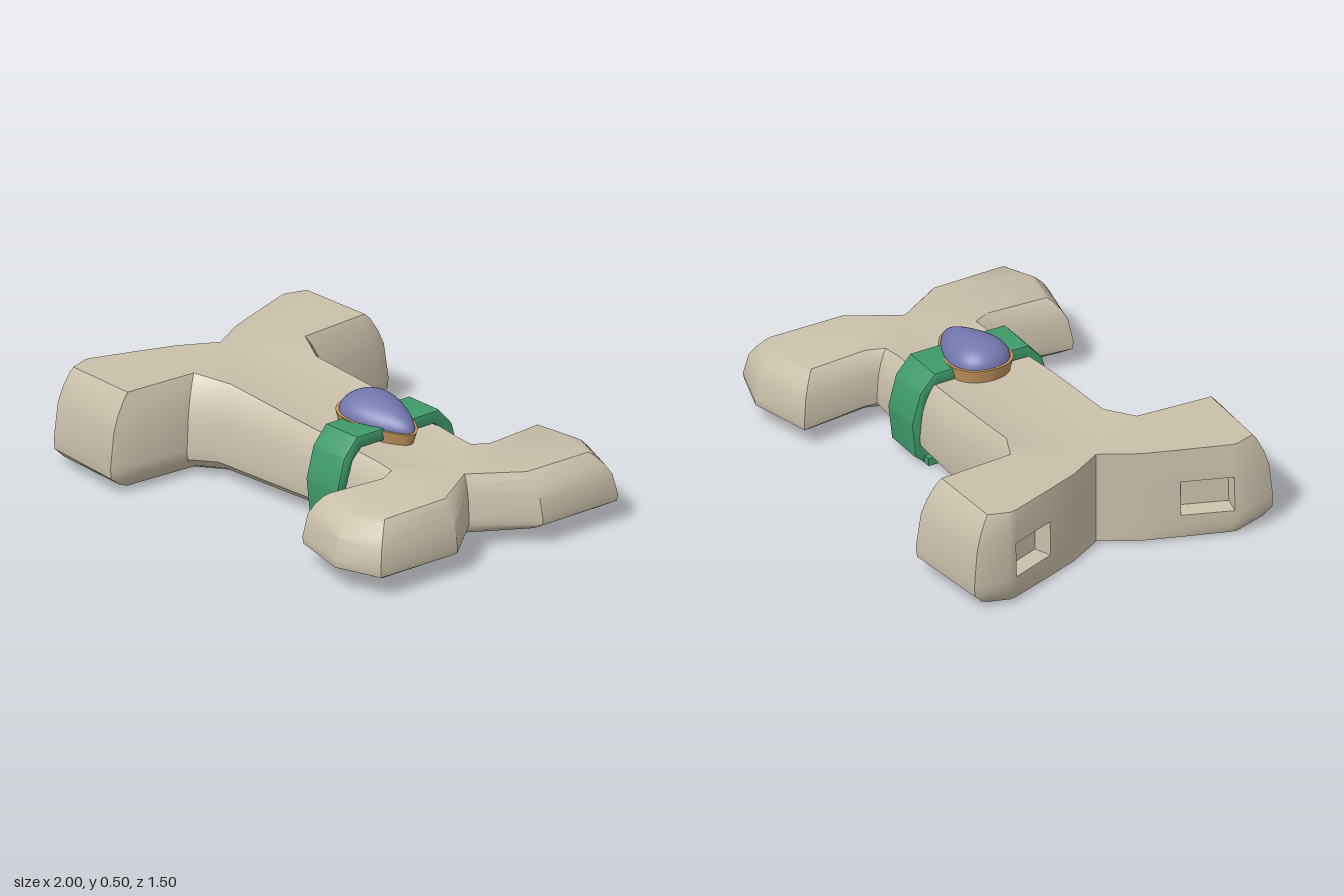
import * as THREE from 'three';
import { toCreasedNormals, mergeVertices } from 'three/addons/utils/BufferGeometryUtils.js';

const mat = (name, color) => Object.assign(new THREE.MeshStandardMaterial({ color }), { name });

// piecewise linear lookup in [[x, y], ...]
function lookup(table, x) {
  if (x <= table[0][0]) return table[0][1];
  for (let i = 1; i < table.length; i++) {
    const [x0, y0] = table[i - 1], [x1, y1] = table[i];
    if (x <= x1) return y0 + (y1 - y0) * (x - x0) / (x1 - x0);
  }
  return table[table.length - 1][1];
}

// bone: plan outline stacked in bevelled layers, with a pocket in each thick end lobe
function boneGeometry() {
  // x, z, and how far the bevel moves x and z; one half, mirrored below
  const half = [
    [-0.75, 0, 0, 0], [-0.84, 0.16, 0, 0], [-0.905, 0.31, 0.01, 0], [-0.985, 0.52, 0.02, -0.01],
    [-1, 0.56, 0.03, -0.02], [-0.97, 0.71, 0.03, -0.08], [-0.57, 0.75, -0.02, -0.11],
    [-0.54, 0.67, -0.05, -0.06], [-0.52, 0.38, -0.05, -0.08], [-0.41, 0.31, -0.01, -0.08],
    [0, 0.3, 0, -0.07], [0.48, 0.28, 0, -0.07], [0.535, 0.275, 0.03, -0.06],
    [0.54, 0.33, 0.06, -0.04], [0.5, 0.64, 0.08, -0.08], [0.78, 0.71, 0, -0.11],
    [0.99, 0.64, -0.08, -0.09], [0.995, 0.23, -0.09, -0.01], [0.8, 0, -0.03, 0],
  ];
  const mirrored = half.slice(1, -1).reverse().map(([x, z, ix, iz]) => [x, -z, ix, -iz]);
  const outline = [...half, ...mirrored];
  const N = outline.length;
  const top = [[-0.57, 0.43], [-0.45, 0.41], [0, 0.38], [0.45, 0.342], [0.62, 0.325], [0.88, 0.318], [1, 0.3]];
  const bottom = [[-0.57, 0.018], [-0.45, 0.03], [0, 0.045], [0.5, 0.06], [1, 0.065]];
  // height fraction, bevel fraction
  const layers = [[0, 1], [0.05, 0.55], [0.15, 0.05], [0.26, 0], [0.64, 0.2], [0.8, 0.45], [0.94, 0.78], [1, 1]];
  const rings = layers.map(([t, w]) => outline.map(([x, z, ix, iz]) => {
    const px = x + ix * w, lo = lookup(bottom, px), hi = lookup(top, px);
    return new THREE.Vector3(px, lo + (hi - lo) * t, z + iz * w);
  }));

  const pos = [];
  const tri = (...ps) => ps.forEach(p => pos.push(p.x, p.y, p.z));
  const quad = (a, b, c, d) => { tri(a, b, c); tri(a, c, d); };
  for (let l = 0; l < layers.length - 1; l++) {
    for (let i = 0; i < N; i++) {
      const j = (i + 1) % N;
      const c = [rings[l][i], rings[l][j], rings[l + 1][j], rings[l + 1][i]];
      if (l === 3 && (i === 2 || i === N - 3)) {
        // recessed pocket
        const mid = c.reduce((s, p) => s.add(p), new THREE.Vector3()).multiplyScalar(0.25);
        const inward = new THREE.Vector3(c[1].z - c[0].z, 0, c[0].x - c[1].x).normalize().multiplyScalar(0.07);
        const back = c.map(p => p.clone().lerp(mid, 0.12).add(inward));
        for (let k = 0; k < 4; k++) {
          const m = (k + 1) % 4;
          quad(c[k], c[m], back[m], back[k]);
        }
        quad(...back);
      } else quad(...c);
    }
  }
  // flat caps
  const cap = (ring, up) => {
    const flat = ring.map(p => new THREE.Vector2(p.x, -p.z));
    for (const [a, b, c] of THREE.ShapeUtils.triangulateShape(flat, [])) {
      if (up) tri(ring[a], ring[b], ring[c]);
      else tri(ring[a], ring[c], ring[b]);
    }
  };
  cap(rings[layers.length - 1], true);
  cap(rings[0], false);
  const g = new THREE.BufferGeometry();
  g.setAttribute('position', new THREE.Float32BufferAttribute(pos, 3));
  return toCreasedNormals(g, 0.65);
}

// band looping round the shaft
function strapGeometry() {
  const right = [[0.26, 0.015], [0.305, 0.05], [0.322, 0.2], [0.285, 0.335], [0.22, 0.408]];
  const inner = [[0.245, 0.048], [0.275, 0.075], [0.288, 0.2], [0.25, 0.32], [0.2, 0.368]];
  const loop = pts => [...pts, ...pts.map(([z, y]) => [-z, y]).reverse()].map(p => new THREE.Vector2(...p));
  const shape = new THREE.Shape(loop(right));
  shape.holes.push(new THREE.Path(loop(inner)));
  const g = new THREE.ExtrudeGeometry(shape, {
    depth: 0.18, bevelThickness: 0.008, bevelSize: 0.007, bevelSegments: 2,
  });
  g.rotateY(Math.PI / 2).translate(0.17, 0, 0);
  return toCreasedNormals(g, 0.5);
}

// reshape a unit round form into a teardrop, blunt towards -x
function teardrop(g, length, width, shift) {
  const p = g.attributes.position;
  for (let i = 0; i < p.count; i++) {
    const x = p.getX(i), z = p.getZ(i), r = Math.hypot(x, z);
    const c = r > 1e-6 ? x / r : 0;
    p.setX(i, x * length - shift * (1 - r));
    p.setZ(i, z * width * (1 - 0.4 * c));
  }
  return g;
}

export function createModel() {
  const model = new THREE.Group();
  const boneMat = mat('bone', 0xc9c0aa);
  const strapMat = mat('greenStrap', 0x3f9a6b);
  const settingMat = mat('bronze', 0xc4955f);
  const gemMat = mat('violetGem', 0x7377ae);
  const add = (parent, name, geometry, material) => {
    const mesh = new THREE.Mesh(geometry, material);
    mesh.name = name;
    parent.add(mesh);
    return mesh;
  };

  add(model, 'bone', boneGeometry(), boneMat);
  add(model, 'strap', strapGeometry(), strapMat);
  add(model, 'strapUnderside', new THREE.BoxGeometry(0.06, 0.034, 0.54), strapMat).position.set(0.16, 0.027, 0);

  // jewel, tilted down towards the thin end
  const jewel = new THREE.Group();
  jewel.name = 'jewel';
  jewel.position.set(0.245, 0.35, 0);
  jewel.rotation.z = -0.085;
  const setting = teardrop(new THREE.CylinderGeometry(1, 0.9, 0.065, 40), 0.207, 0.131, 0);
  setting.translate(0, 0.0325, 0);
  add(jewel, 'setting', toCreasedNormals(setting, 0.6), settingMat);

  const dome = new THREE.SphereGeometry(1, 40, 12, 0, Math.PI * 2, 0, Math.PI / 2);
  dome.deleteAttribute('uv');
  dome.deleteAttribute('normal');
  const gem = mergeVertices(teardrop(dome, 0.194, 0.12, 0.06));
  gem.scale(1, 0.09, 1).translate(0, 0.061, 0);
  gem.computeVertexNormals();
  add(jewel, 'gem', gem, gemMat);
  model.add(jewel);
  return model;
}
